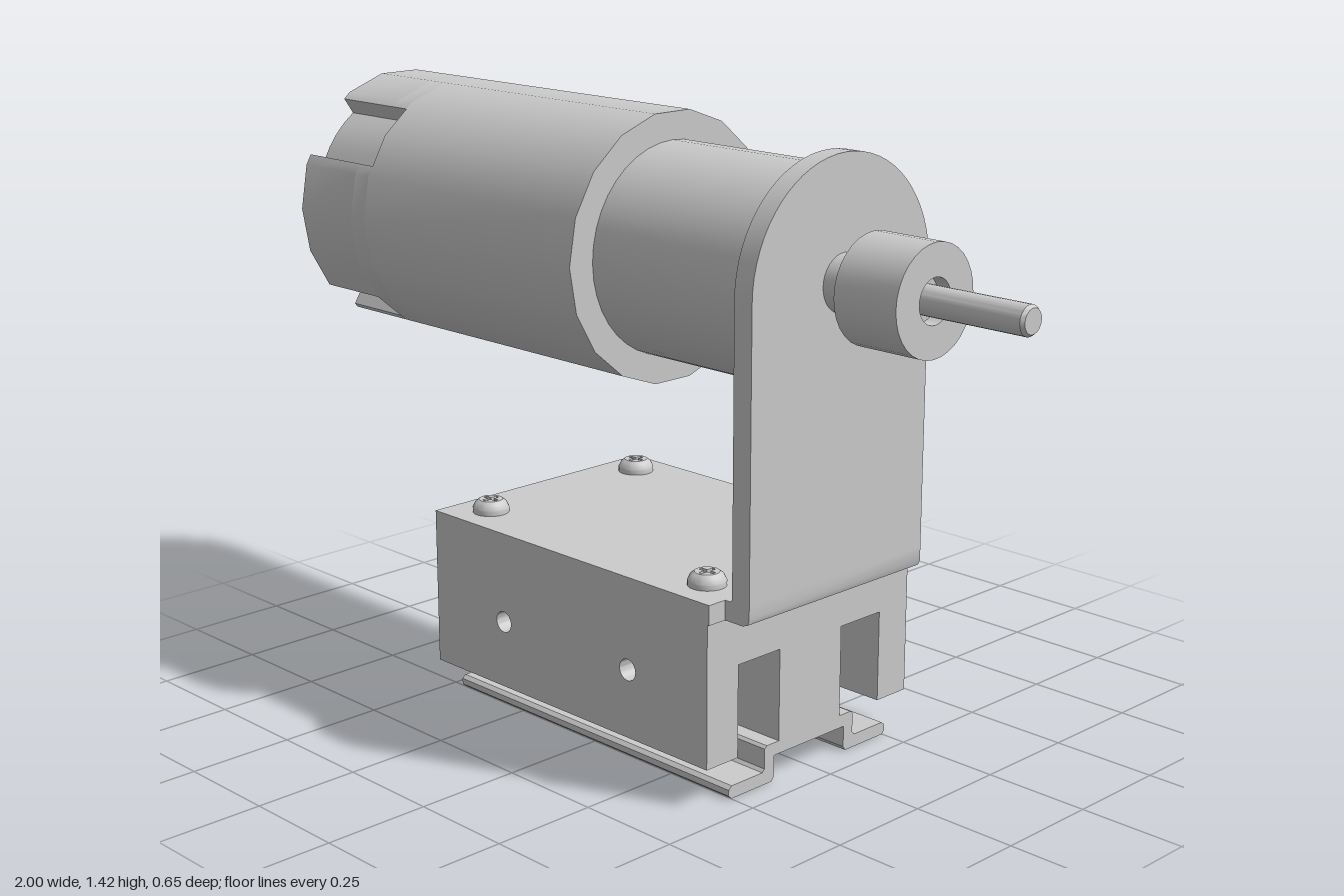
import * as THREE from 'three';
import { toCreasedNormals } from 'three/addons/utils/BufferGeometryUtils.js';

const material = new THREE.MeshStandardMaterial({ color: 0xcccccc });
const AXIS_Y = 1.115;
const X0 = -0.465, X1 = 0.435; // ends of the base

export function createModel() {
  const model = new THREE.Group();

  const add = (name, geometry, parent = model) => {
    const mesh = new THREE.Mesh(toCreasedNormals(geometry, 0.5), material);
    mesh.name = name;
    parent.add(mesh);
    return mesh;
  };
  const polygon = (pts) => new THREE.Shape(pts.map(([x, y]) => new THREE.Vector2(x, y)));
  const circleHole = (x, y, r) => new THREE.Path().absarc(x, y, r, 0, Math.PI * 2, true);
  const extrude = (shape, depth) =>
    new THREE.ExtrudeGeometry(shape, { depth, bevelEnabled: false, curveSegments: 16 });
  // Section drawn in (-z, y), swept along x
  const alongX = (shape, x0, x1) => extrude(shape, x1 - x0).rotateY(Math.PI / 2).translate(x0, 0, 0);
  // Turned part on the motor axis, profile of [x, radius]
  const turned = (profile, segments = 32) =>
    new THREE.LatheGeometry(profile.map(([x, r]) => new THREE.Vector2(r, x)), segments)
      .rotateZ(-Math.PI / 2).translate(0, AXIS_Y, 0);
  const box = (x0, x1, y0, y1, z0, z1) =>
    new THREE.BoxGeometry(x1 - x0, y1 - y0, z1 - z0)
      .translate((x0 + x1) / 2, (y0 + y1) / 2, (z0 + z1) / 2);

  // Motor can: 18-sided section, notched at the rear
  const canRadius = (deg) => {
    const offset = (((deg % 20) + 20) % 20) - 10;
    return 0.31 * Math.cos(Math.PI / 18) / Math.cos((offset - 10 * Math.sign(offset || 1)) * Math.PI / 180);
  };
  const canSection = (notches) => {
    const pts = [];
    const put = (deg, r) => {
      const a = deg * Math.PI / 180;
      pts.push([r * Math.cos(a), AXIS_Y + r * Math.sin(a)]);
    };
    const angles = Array.from({ length: 18 }, (_, i) => i * 20);
    const stops = [...angles.filter((d) => !notches.some((n) => d >= n.from && d <= n.to))
      .map((d) => ({ at: d })), ...notches.map((n) => ({ at: n.from, notch: n }))];
    stops.sort((a, b) => a.at - b.at);
    for (const { at, notch } of stops) {
      if (!notch) { put(at, 0.31); continue; }
      const { from, to, floor } = notch;
      put(from, canRadius(from));
      for (let i = 0; i <= 4; i++) put(from + (to - from) * i / 4, floor);
      put(to, canRadius(to));
    }
    return polygon(pts);
  };
  const wide = [{ from: 124, to: 155, floor: 0.262 }, { from: 304, to: 335, floor: 0.262 }];
  const narrow = [{ from: 41, to: 58, floor: 0.24 }, { from: 221, to: 238, floor: 0.24 }];
  const rear = canSection([...wide, ...narrow]);
  for (let i = 0; i < 6; i++) {
    const a = (i + 0.5) * Math.PI / 3;
    rear.holes.push(circleHole(0.19 * Math.cos(a), AXIS_Y + 0.19 * Math.sin(a), 0.018));
  }
  const motor = new THREE.Group();
  motor.name = 'motor';
  model.add(motor);
  add('motorRear', alongX(rear, -0.97, -0.775), motor);
  add('motorNotchBand', alongX(canSection(wide), -0.775, -0.725), motor);
  add('motorCan', alongX(canSection([]), -0.725, 0), motor);
  add('rearBearing', turned([[-0.97, 0.045], [-0.99, 0.045], [-1, 0.055], [-1, 0.075],
    [-0.995, 0.08], [-0.96, 0.08]]), motor);
  add('rearShaftEnd', turned([[-0.99, 0], [-0.99, 0.033], [-0.96, 0.033]]), motor);
  add('gearbox', turned([[-0.01, 0.243], [0.46, 0.243], [0.46, 0]], 40), motor);

  // Output shaft and collar
  add('shaftHub', turned([[0.5, 0.065], [0.6, 0.065]]));
  add('collar', turned([[0.59, 0], [0.59, 0.122], [0.755, 0.122], [0.755, 0.05], [0.72, 0.05], [0.72, 0]]));
  add('outputShaft', turned([[0.71, 0.033], [0.992, 0.033], [1, 0.027], [1, 0]], 24));

  // Angle bracket
  const HALF = 0.277;
  const plate = new THREE.Shape();
  plate.moveTo(-HALF, 0.47);
  plate.lineTo(HALF, 0.47);
  plate.lineTo(HALF, 1.113);
  plate.absarc(0, 1.113, HALF, 0, Math.PI, false);
  plate.closePath();
  add('bracketPlate', alongX(plate, 0.46, 0.51));
  const bend = polygon([[0.43, 0.42], [0.492, 0.42], [0.505, 0.425], [0.51, 0.438],
    [0.51, 0.47], [0.46, 0.47], [0.455, 0.465], [0.43, 0.465]]);
  add('bracketBend', extrude(bend, HALF * 2).translate(0, 0, -HALF));
  add('bracketFoot', box(X0, 0.44, 0.42, 0.465, -0.325, 0.325));

  // Base block: cap, central web and two drilled side walls
  add('baseCap', box(X0, X1, 0.305, 0.42, -0.325, 0.325));
  add('baseWeb', box(X0, X1, 0.09, 0.305, -0.1, 0.1));
  const wall = polygon([[X0, 0.09], [X1, 0.09], [X1, 0.305], [X0, 0.305]]);
  for (const x of [-0.225, 0.19]) wall.holes.push(circleHole(x, 0.25, 0.025));
  for (const z of [-0.325, 0.23]) add('baseWall', extrude(wall, 0.095).translate(0, 0, z));

  // Hat-section mounting rail
  const half = [[0.115, 0.06], [0.115, 0.01], [0.122, 0], [0.248, 0], [0.257, 0.008], [0.257, 0.022],
    [0.248, 0.03], [0.152, 0.03], [0.145, 0.037], [0.145, 0.084], [0.138, 0.09]];
  const rail = polygon([...half, ...half.map(([z, y]) => [-z, y]).reverse()]);
  add('mountingRail', alongX(rail, X0, X1));

  // Cross-recessed screws
  const disc = new THREE.Shape().absarc(0, 0, 0.028, 0, Math.PI * 2, false);
  const a = 0.005, b = 0.021;
  disc.holes.push(new THREE.Path([[b, a], [a, a], [a, b], [-a, b], [-a, a], [-b, a], [-b, -a],
    [-a, -a], [-a, -b], [a, -b], [a, -a], [b, -a]].map(([x, y]) => new THREE.Vector2(x, y))));
  const rim = [[0.043, 0], [0.043, 0.012], [0.037, 0.024], [0.028, 0.031]];
  for (const x of [-0.37, 0.345]) for (const z of [-0.235, 0.235]) {
    const screw = new THREE.Group();
    screw.name = 'screw';
    screw.position.set(x, 0.465, z);
    model.add(screw);
    add('screwRim', new THREE.LatheGeometry(rim.map(([r, y]) => new THREE.Vector2(r, y)), 24), screw);
    add('screwTop', extrude(disc, 0.015).rotateX(-Math.PI / 2).translate(0, 0.016, 0), screw);
    add('screwRecess', new THREE.CircleGeometry(0.028, 24).rotateX(-Math.PI / 2).translate(0, 0.016, 0), screw);
  }
  return model;
}
